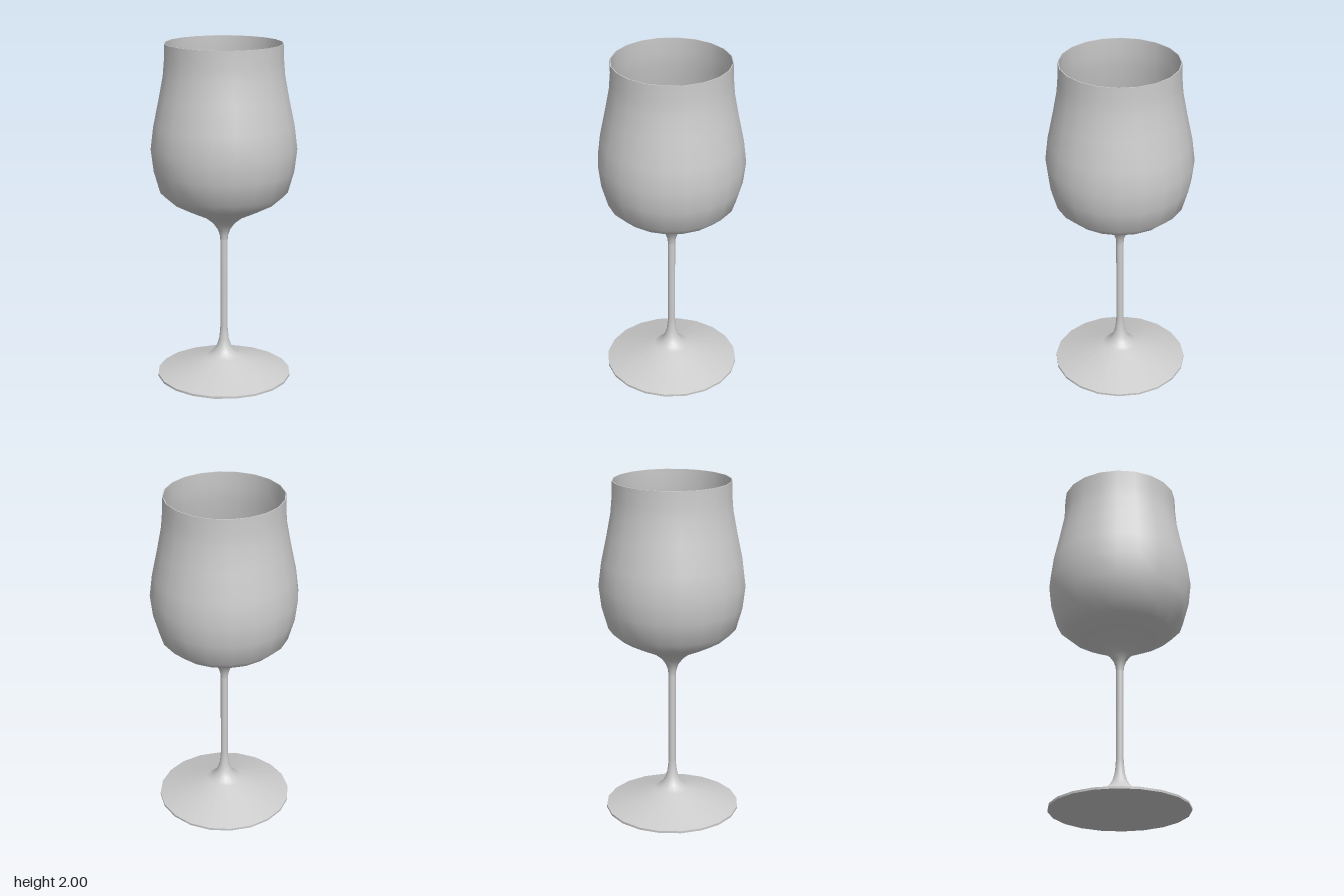
import * as THREE from 'three';

const SIDES = 20;

export function createModel() {
  const group = new THREE.Group();
  const material = new THREE.MeshStandardMaterial({ color: 0xcccccc });

  // Each part is a revolved profile of [radius, height] points
  const addLathe = (name, profile) => {
    const points = profile.map(([r, y]) => new THREE.Vector2(r, y));
    const mesh = new THREE.Mesh(new THREE.LatheGeometry(points, SIDES), material);
    mesh.name = name;
    group.add(mesh);
  };

  // Outer bowl wall, bottom to top
  const bowl = [
    [0.022, 0.84], [0.025, 0.87], [0.037, 0.905], [0.065, 0.945], [0.115, 0.985],
    [0.22, 1.035], [0.305, 1.08], [0.373, 1.14], [0.41, 1.27], [0.425, 1.4],
    [0.408, 1.535], [0.375, 1.69], [0.35, 1.82], [0.342, 1.91], [0.34, 2],
  ];
  // Inner bowl wall, top to bottom
  const inside = [
    [0.335, 2], [0.337, 1.91], [0.345, 1.82], [0.37, 1.69], [0.403, 1.535],
    [0.42, 1.4], [0.405, 1.27], [0.368, 1.145], [0.302, 1.087], [0.218, 1.043],
    [0.11, 1.005], [0, 0.995],
  ];
  // Foot top flaring up into the stem
  const stem = [
    [0.4, 0.013], [0.105, 0.112], [0.08, 0.128], [0.06, 0.147], [0.043, 0.175],
    [0.03, 0.215], [0.024, 0.265], [0.022, 0.3], [0.022, 0.84],
  ];

  addLathe('footUnderside', [[0, 0], [0.4, 0]]);
  addLathe('footEdge', [[0.4, 0], [0.4, 0.013]]);
  addLathe('footAndStem', stem);
  addLathe('bowlOutside', bowl);
  addLathe('bowlRim', [[0.34, 2], [0.335, 2]]);
  addLathe('bowlInside', inside);
  return group;
}
